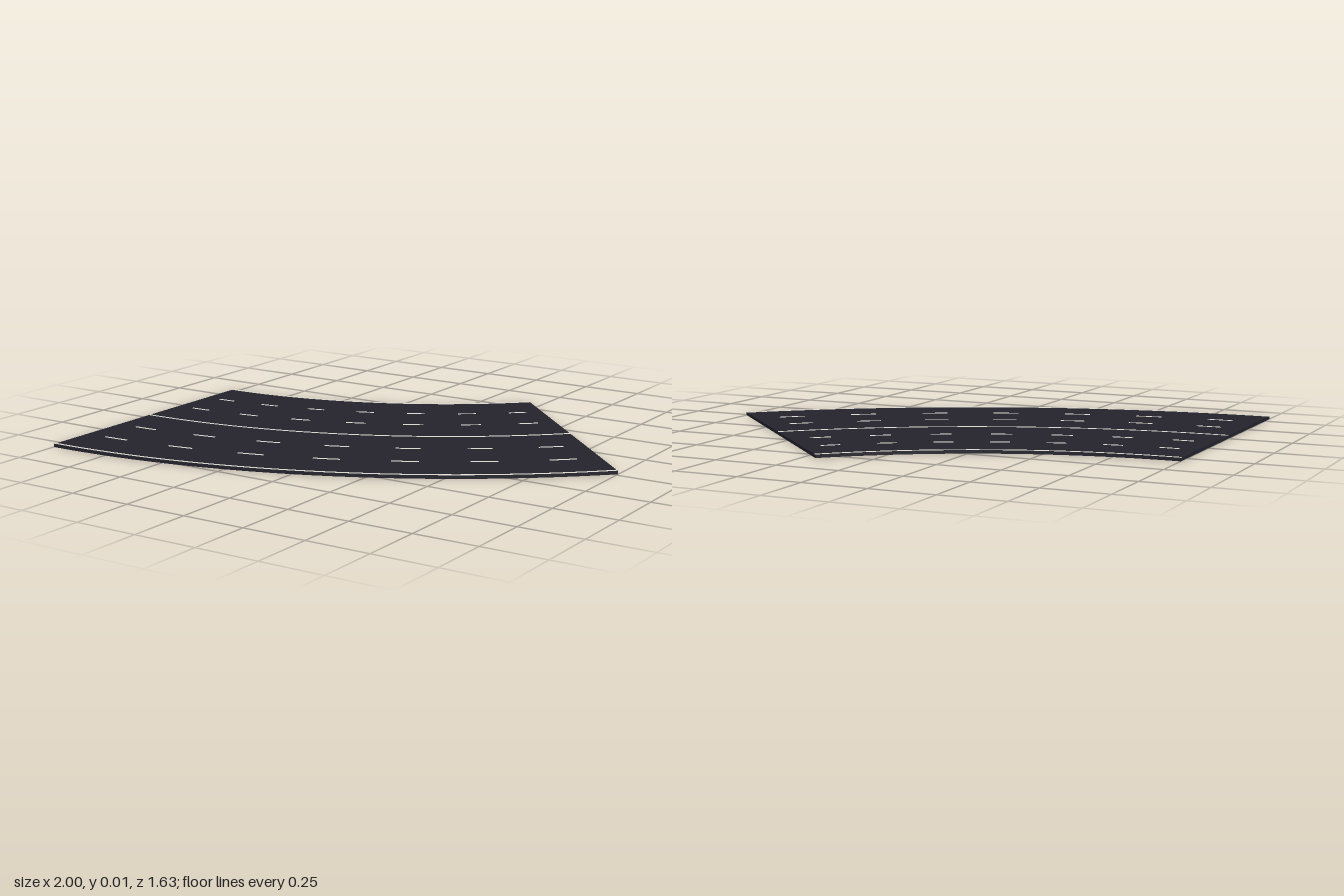
import * as THREE from 'three';

const INNER = 1.697, OUTER = 2.828;   // road edge radii
const SWEEP = Math.PI / 4;            // the bend turns 45 degrees
const CX = -1, CZ = -2.014;           // centre of the bend
const ROAD_TOP = 0.012, PAINT_TOP = 0.014;

// Flat slab between two radii and two angles, measured from the straight end
function arcSlab(r0, r1, a0, a1, bottom, top, segments) {
  const at = (r, a) => new THREE.Vector2(r * Math.sin(a), r * Math.cos(a));
  const outer = [], inner = [];
  for (let i = 0; i <= segments; i++) {
    const a = a0 + (a1 - a0) * i / segments;
    outer.push(at(r1, a));
    inner.unshift(at(r0, a));
  }
  const geometry = new THREE.ExtrudeGeometry(new THREE.Shape([...outer, ...inner]), {
    depth: top - bottom, bevelEnabled: false, steps: 1,
  });
  geometry.rotateX(Math.PI / 2);
  geometry.translate(CX, top, CZ);
  return geometry;
}

export function createModel() {
  const group = new THREE.Group();
  group.name = 'curvedRoad';

  const asphalt = new THREE.MeshStandardMaterial({ color: 0x24232d });
  asphalt.name = 'asphalt';
  const paint = new THREE.MeshStandardMaterial({ color: 0xe8e6da });
  paint.name = 'roadPaint';

  const add = (name, geometry, material) => {
    const mesh = new THREE.Mesh(geometry, material);
    mesh.name = name;
    group.add(mesh);
  };

  // Road bed
  add('roadBed', arcSlab(INNER, OUTER, 0, SWEEP, 0, ROAD_TOP, 48), asphalt);

  // A painted strip centred on one radius
  const strip = (name, r, a0, a1, segments, width = 0.007) =>
    add(name, arcSlab(r - width / 2, r + width / 2, a0, a1, ROAD_TOP - 0.001, PAINT_TOP, segments), paint);

  // Solid lines: both edges and the middle
  strip('innerEdgeLine', INNER + 0.009, 0, SWEEP, 48);
  strip('outerEdgeLine', OUTER - 0.009, 0, SWEEP, 48);
  strip('centreLine', (INNER + OUTER) / 2, 0, SWEEP, 48);

  // Dashed lines between the three lanes on each side
  const lane = (OUTER - INNER) / 6;
  const count = 7, period = SWEEP / count, dash = period * 0.35;
  for (const k of [1, 2, 4, 5]) {
    for (let i = 0; i < count; i++) {
      const middle = (i + 0.5) * period;
      strip('laneDash', INNER + k * lane, middle - dash / 2, middle + dash / 2, 3);
    }
  }
  return group;
}
